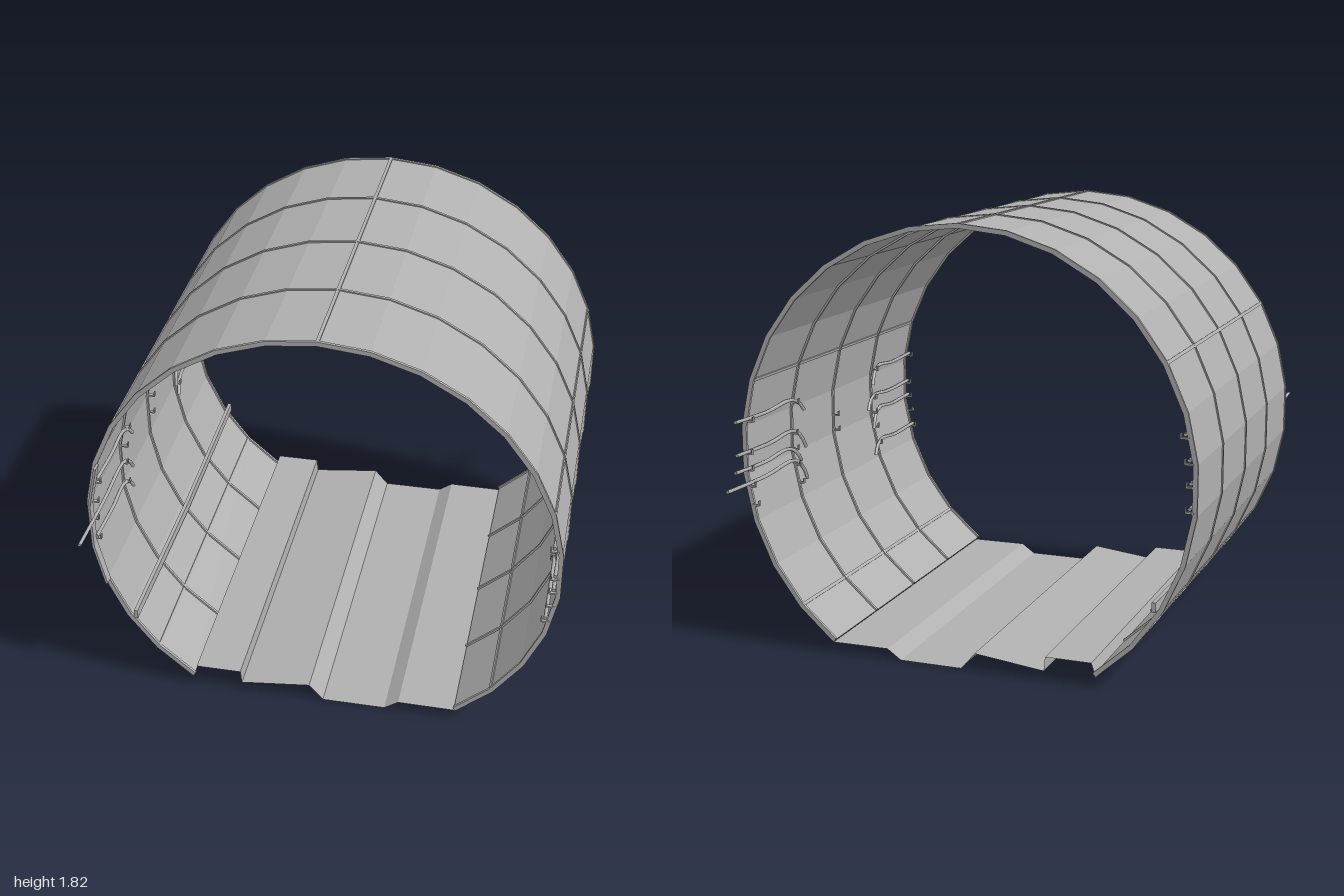
import * as THREE from 'three';

const CY = 0.84, R = 0.98, STEP = Math.PI / 15, HALF = 0.8;

// Point on the faceted ring; k counts 12 degree steps from the crown towards +x
const ringPoint = (k, r) => new THREE.Vector2(Math.sin(k * STEP) * r, CY + Math.cos(k * STEP) * r);

// Distance of the inner wall from x = 0 at height y
const wallX = (y) => Math.sqrt(0.967 ** 2 - (y - CY) ** 2);

// Extruded faceted arc between two steps
function arcGeometry(k0, k1, rIn, rOut, z, depth) {
  const pts = [];
  for (let k = k0; k <= k1; k++) pts.push(ringPoint(k, rOut));
  for (let k = k1; k >= k0; k--) pts.push(ringPoint(k, rIn));
  const geo = new THREE.ExtrudeGeometry(new THREE.Shape(pts), { depth, bevelEnabled: false });
  return geo.translate(0, 0, z);
}

export function createModel() {
  const model = new THREE.Group();
  const metal = new THREE.MeshStandardMaterial({ color: 0xb0b0b0 });
  metal.name = 'grey metal';
  const sheet = new THREE.MeshStandardMaterial({ color: 0xb0b0b0, side: THREE.DoubleSide, flatShading: true });
  sheet.name = 'grey sheet';

  const add = (name, geo, parent = model, mat = metal) => {
    const mesh = new THREE.Mesh(geo, mat);
    mesh.name = name;
    parent.add(mesh);
    return mesh;
  };
  const addGroup = (name) => {
    const g = new THREE.Group();
    g.name = name;
    model.add(g);
    return g;
  };

  // Curved wall plates between the long seams
  const walls = addGroup('wallPlates');
  const seams = [-12, -11, -5, 0, 6, 11, 12];
  for (let i = 0; i < seams.length - 1; i++) {
    add('wallPlate', arcGeometry(seams[i], seams[i + 1], R - 0.008, R - 0.001, -HALF, HALF * 2), walls);
  }

  // Hoops over the cross joints and at both open ends
  const hoops = addGroup('hoops');
  const rings = [-0.8, -0.4, 0, 0.4, 0.8];
  for (const z of rings) {
    const w = 0.012;
    const z0 = Math.min(Math.max(z - w / 2, -HALF - 0.003), HALF + 0.003 - w);
    add('hoop', arcGeometry(-12, 12, R - 0.016, R + 0.004, z0, w), hoops);
  }

  // Long seam strips
  const strips = addGroup('seamStrips');
  for (const k of [-11, -5, 0, 6, 11]) {
    const p = ringPoint(k, R - 0.005);
    const strip = add('seamStrip', new THREE.BoxGeometry(0.014, 0.016, HALF * 2), strips);
    strip.position.set(p.x, p.y, 0);
    strip.rotation.z = -k * STEP;
  }

  // Folded sheet floor with a raised ledge and a shallow central channel
  const profile = [[-0.58, 0.04], [-0.56, 0.1], [-0.365, 0.1], [-0.36, 0.04], [-0.06, 0.075],
    [0.0, 0.003], [0.27, 0.003], [0.33, 0.045], [0.58, 0.043]];
  const floor = new THREE.PlaneGeometry(1, HALF * 2, profile.length - 1, 1);
  floor.rotateX(-Math.PI / 2);
  const pos = floor.attributes.position;
  for (let i = 0; i < pos.count; i++) {
    const [x, y] = profile[i % profile.length];
    pos.setXYZ(i, x, y, pos.getZ(i));
  }
  const flatFloor = floor.toNonIndexed();
  flatFloor.computeVertexNormals();
  add('floor', flatFloor, model, sheet);

  // Cable racks: a back plate with hooked arms on every hoop, both sides
  const levels = { '-1': [1.06, 0.96, 0.87, 0.77], '1': [0.98, 0.84, 0.77, 0.7, 0.62] };
  const racks = addGroup('cableRacks');
  const tube = (pts, r, seg = 8) => new THREE.TubeGeometry(
    new THREE.CatmullRomCurve3(pts.map((p) => new THREE.Vector3(...p))), seg, r, 6);
  for (const side of [-1, 1]) {
    for (const z of rings) {
      const many = z !== 0;
      const ys = many ? levels[side] : levels[side].slice(1, 3);
      for (const y of ys) {
        const x = wallX(y);
        const arm = add('rackArm', new THREE.BoxGeometry(0.034, 0.007, 0.014), racks);
        arm.position.set(side * (x - 0.015), y - 0.014, z);
        const lip = add('rackLip', new THREE.BoxGeometry(0.005, 0.022, 0.014), racks);
        lip.position.set(side * (x - 0.032), y - 0.005, z);
      }
    }
  }

  // Broken cables resting on the racks, drooping at their torn ends
  const cables = addGroup('cables');
  const cable = (side, y, zOut, zIn, droop) => {
    const x = side * (wallX(y) - 0.016);
    const d = Math.sign(zOut - zIn);
    const zMid = (zOut + zIn) / 2;
    add('cable', tube([
      [x, y, zOut],
      [x, y - 0.008, zMid],
      [x, y, zIn + d * 0.06],
      [x - side * 0.006, y - droop * 0.4, zIn],
      [x - side * 0.012, y - droop, zIn - d * 0.03],
    ], 0.008, 16), cables);
    const cap = add('cableEnd', new THREE.CircleGeometry(0.008, 6), cables, sheet);
    cap.position.set(x, y, zOut);
  };
  const runs = [
    // side, [height, outer end, inner end, droop]
    [-1, [[1.06, 0.8, 0.4, 0.06], [0.87, 1, 0.36, 0.08], [0.77, 0.81, 0.38, 0.07]]],
    [-1, [[1.06, -0.8, -0.36, 0.09], [0.96, -0.8, -0.33, 0.07], [0.87, -0.8, -0.38, 0.1], [0.77, -0.8, -0.4, 0.06]]],
    [1, [[0.985, -0.92, -0.38, 0.06], [0.84, -0.9, -0.35, 0.09], [0.77, -0.92, -0.4, 0.07], [0.71, -1, -0.36, 0.1]]],
    [1, [[0.98, 0.8, 0.38, 0.08], [0.84, 0.8, 0.35, 0.06], [0.77, 0.8, 0.4, 0.09], [0.62, 0.8, 0.37, 0.06]]],
  ];
  for (const [side, list] of runs) for (const c of list) cable(side, ...c);

  // Narrow end flange following the wall at the front
  add('endFlange', arcGeometry(-9, -6, R - 0.022, R - 0.012, HALF, 0.04));

  // Slightly bent rail low on the right wall
  const rail = addGroup('lowRail');
  for (const [z0, y0, z1, y1] of [[0.8, 0.355, 0, 0.34], [0, 0.34, -0.81, 0.365]]) {
    const bar = add('railBar', new THREE.BoxGeometry(0.016, 0.04, Math.hypot(z1 - z0, y1 - y0)), rail);
    bar.position.set(-0.815, (y0 + y1) / 2, (z0 + z1) / 2);
    bar.rotation.x = Math.atan2(y1 - y0, z0 - z1);
  }

  // Small lamp clip below the crown
  const clip = add('lampClip', new THREE.BoxGeometry(0.035, 0.01, 0.04));
  clip.position.set(0.37, 1.73, 0.4);
  return model;
}
